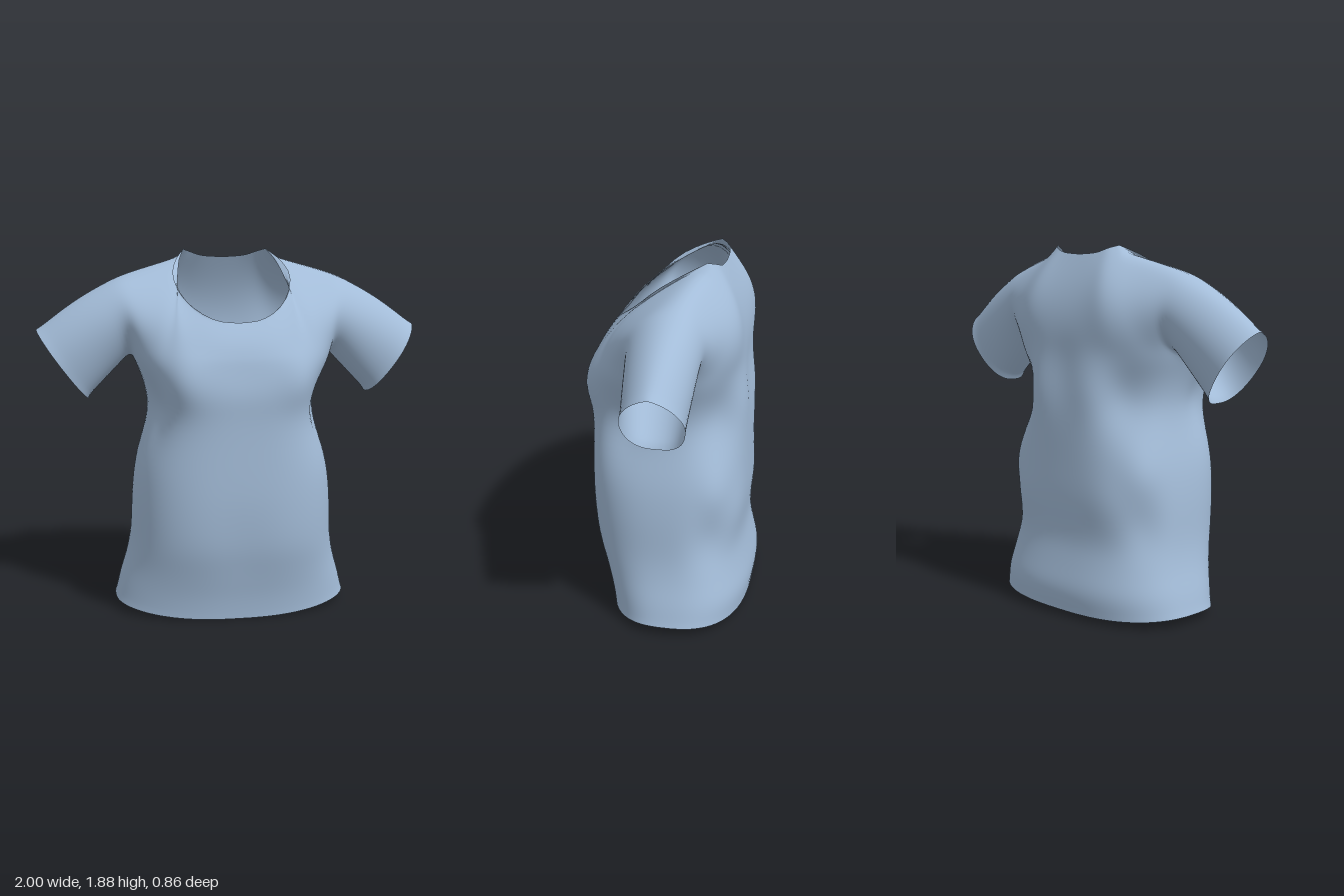
import * as THREE from 'three';
import { mergeGeometries, mergeVertices } from 'three/addons/utils/BufferGeometryUtils.js';

const N = 28, K = 13, R = 22, ROWS = 44, SLEEVE = 18; // grid resolution
const V = (x, y, z) => new THREE.Vector3(x, y, z);
const curve = (pts) => new THREE.CatmullRomCurve3(pts.map((p) => V(...p)));
const SIDE_Z = -0.04;

// Torso rings from hem to armpit: height, half width, front z, back z
const RINGS = [
  [0.0, 0.62, 0.31, -0.42], [0.12, 0.595, 0.33, -0.435], [0.25, 0.56, 0.365, -0.41],
  [0.4, 0.535, 0.405, -0.385], [0.6, 0.525, 0.42, -0.4], [0.8, 0.5, 0.42, -0.4],
  [1.05, 0.437, 0.42, -0.4], [1.2, 0.455, 0.432, -0.395], [1.35, 0.51, 0.405, -0.38],
];
// Neckline halves and shoulder line, all for the +x side
const neckFront = curve([[0, 1.54, 0.285], [0.1, 1.55, 0.28], [0.19, 1.59, 0.245], [0.275, 1.67, 0.15],
  [0.305, 1.765, 0.04], [0.27, 1.84, -0.09], [0.22, 1.885, -0.19]]);
const neckBack = curve([[0, 1.84, -0.25], [0.12, 1.85, -0.245], [0.18, 1.87, -0.23], [0.22, 1.885, -0.19]]);
const shoulder = curve([[0.22, 1.885, -0.19], [0.33, 1.85, -0.15], [0.48, 1.808, -0.115], [0.59, 1.772, -0.09]]);

// Soft hollows (+) and swells (-): x, y, z, radius, depth
const FOLDS = [
  [0.37, 1.15, -0.29, 0.14, 0.05], [0.2, 1.15, -0.38, 0.1, -0.01], [0, 1.25, -0.38, 0.12, 0.015],
  [0.28, 1.27, 0.4, 0.1, -0.025], [0, 1.28, 0.42, 0.12, 0.008], [0.42, 1.1, 0.2, 0.12, 0.035],
  [0.46, 0.5, -0.25, 0.1, 0.02], [0.42, 0.76, -0.26, 0.09, -0.015], [0.3, 0.6, -0.37, 0.12, -0.012],
  [0, 0.4, 0.41, 0.16, 0.012],
];

// Squarish oval ring, i = 0 at centre front, N at the side, 2N at centre back
function ringPoint([y, w, front, back], i) {
  const a = (i / N) * Math.PI / 2, s = Math.sin(a), c = Math.cos(a);
  const e = i < N ? 0.82 - 0.16 * Math.min(1, y / 0.8) : 0.76;
  const depth = (i < N ? front : back) - SIDE_Z;
  const z = i === N ? SIDE_Z : SIDE_Z + depth * Math.abs(c) ** e;
  const rise = (0.05 * s * s + (i > N ? 0.025 * c * c : 0)) * Math.max(0, 1 - y / 0.4);
  return V(i % (2 * N) ? w * s ** e : 0, y + rise, z);
}

// Grid surface with columns to the right and rows upward, seen from outside
function sheet(cols, rows, at) {
  const pos = [], index = [];
  for (let r = 0; r <= rows; r++) for (let c = 0; c <= cols; c++) pos.push(...at(c, r).toArray());
  for (let r = 0; r < rows; r++) for (let c = 0; c < cols; c++) {
    const a = r * (cols + 1) + c, d = a + cols + 1;
    index.push(a, a + 1, d + 1, a, d + 1, d);
  }
  const g = new THREE.BufferGeometry();
  g.setAttribute('position', new THREE.Float32BufferAttribute(pos, 3));
  g.setIndex(index);
  return g;
}

// Chest or upper back: from the armpit ring up to the neckline and shoulder
function yokePoint(i, r, isBack) {
  const v = r / R, t = i / N, neck = isBack ? neckBack : neckFront;
  const bottom = ringPoint(RINGS[RINGS.length - 1], isBack ? 2 * N - i : i);
  const top = i <= K ? neck.getPoint(i / K) : shoulder.getPoint((i - K) / (N - K));
  const outer = THREE.MathUtils.smoothstep(t, isBack ? 0 : 0.15, 0.55);
  const bulge = isBack ? -(0.035 + 0.06 * outer + 0.075 * t ** 4) : 0.015 + 0.12 * outer + 0.07 * t ** 4;
  const p = bottom.lerp(top, v);
  p.z += bulge * Math.max(0, Math.sin(Math.PI * v)) ** (1 - 0.35 * t ** 4);
  return p;
}

// Sleeve: from the armhole to the slanted open cuff, t runs round the arm
function sleevePoint(s, t) {
  const isBack = t > R, r = isBack ? 2 * R - t : t;
  const k = s / SLEEVE, f = (Math.PI * r) / R, upper = (1 - Math.cos(f)) / 2;
  const p = yokePoint(N, r, isBack);
  const cuff = V(0.74, 1.13, -0.05).lerp(V(1, 1.488, -0.065), upper);
  cuff.x += 0.012 * Math.sin(f);
  // Cuff is broad below and narrows toward the top
  const round = Math.max(0, Math.sin(f)) ** (upper > 0.5 ? 1.3 : 0.75);
  cuff.z += (isBack ? -0.152 : 0.155) * round;
  p.lerp(cuff, k);
  p.y += 0.02 * Math.sin(Math.PI * k) * upper; // rounded upper arm
  return p;
}

function mirrored(g) {
  const m = g.clone().scale(-1, 1, 1), ix = m.index.array;
  for (let i = 0; i < ix.length; i += 3) [ix[i], ix[i + 1]] = [ix[i + 1], ix[i]];
  return m;
}

// Averages neighbours to blend the seams, leaving the open edges in place
function relax(g, steps) {
  const pos = g.attributes.position, ix = g.index.array, edges = new Map();
  const near = Array.from({ length: pos.count }, () => new Set());
  for (let i = 0; i < ix.length; i += 3) for (let k = 0; k < 3; k++) {
    const a = ix[i + k], b = ix[i + (k + 1) % 3], key = Math.min(a, b) * pos.count + Math.max(a, b);
    near[a].add(b); near[b].add(a);
    edges.set(key, (edges.get(key) || 0) + 1);
  }
  const fixed = new Set();
  edges.forEach((n, key) => {
    if (n === 1) fixed.add(Math.floor(key / pos.count)).add(key % pos.count);
  });
  for (let n = 0; n < steps; n++) {
    const old = near.map((_, i) => V().fromBufferAttribute(pos, i));
    near.forEach((set, i) => {
      if (fixed.has(i)) return;
      const m = V(0, 0, 0);
      set.forEach((j) => m.add(old[j]));
      m.divideScalar(set.size).lerp(old[i], 0.5);
      pos.setXYZ(i, m.x, m.y, m.z);
    });
  }
}

// Pushes the cloth in or out around each fold centre
function addFolds(g) {
  const pos = g.attributes.position;
  for (let i = 0; i < pos.count; i++) {
    const p = V().fromBufferAttribute(pos, i);
    const out = V(p.x, 0, p.z - SIDE_Z).normalize();
    let d = 0;
    for (const [x, y, z, r, depth] of FOLDS) {
      const q = (Math.abs(p.x) - x) ** 2 + ((p.y - y) / 1.4) ** 2 + (p.z - z) ** 2;
      d += depth * Math.exp(-q / (r * r));
    }
    p.addScaledVector(out, -d);
    pos.setXYZ(i, p.x, p.y, p.z);
  }
}

export function createModel() {
  const columns = [];
  for (let i = 0; i <= 2 * N; i++) {
    columns.push(new THREE.CatmullRomCurve3(RINGS.map((ring) => ringPoint(ring, i))));
  }
  const half = [
    sheet(2 * N, ROWS, (c, r) => columns[c].getPoint(r / ROWS)), // torso
    sheet(N, R, (c, r) => yokePoint(c, r, false)), // chest
    sheet(N, R, (c, r) => yokePoint(N - c, r, true)), // upper back
    sheet(SLEEVE, 2 * R, sleevePoint), // sleeve
  ];
  const shirt = mergeVertices(mergeGeometries([...half, ...half.map(mirrored)]), 1e-4);
  relax(shirt, 8);
  addFolds(shirt);
  shirt.computeVertexNormals();

  const mesh = new THREE.Mesh(shirt, new THREE.MeshStandardMaterial({ color: 0xa3bcd8, side: THREE.DoubleSide }));
  mesh.name = 'shirt';
  const group = new THREE.Group();
  group.name = 'shortSleevedShirt';
  group.add(mesh);
  return group;
}
